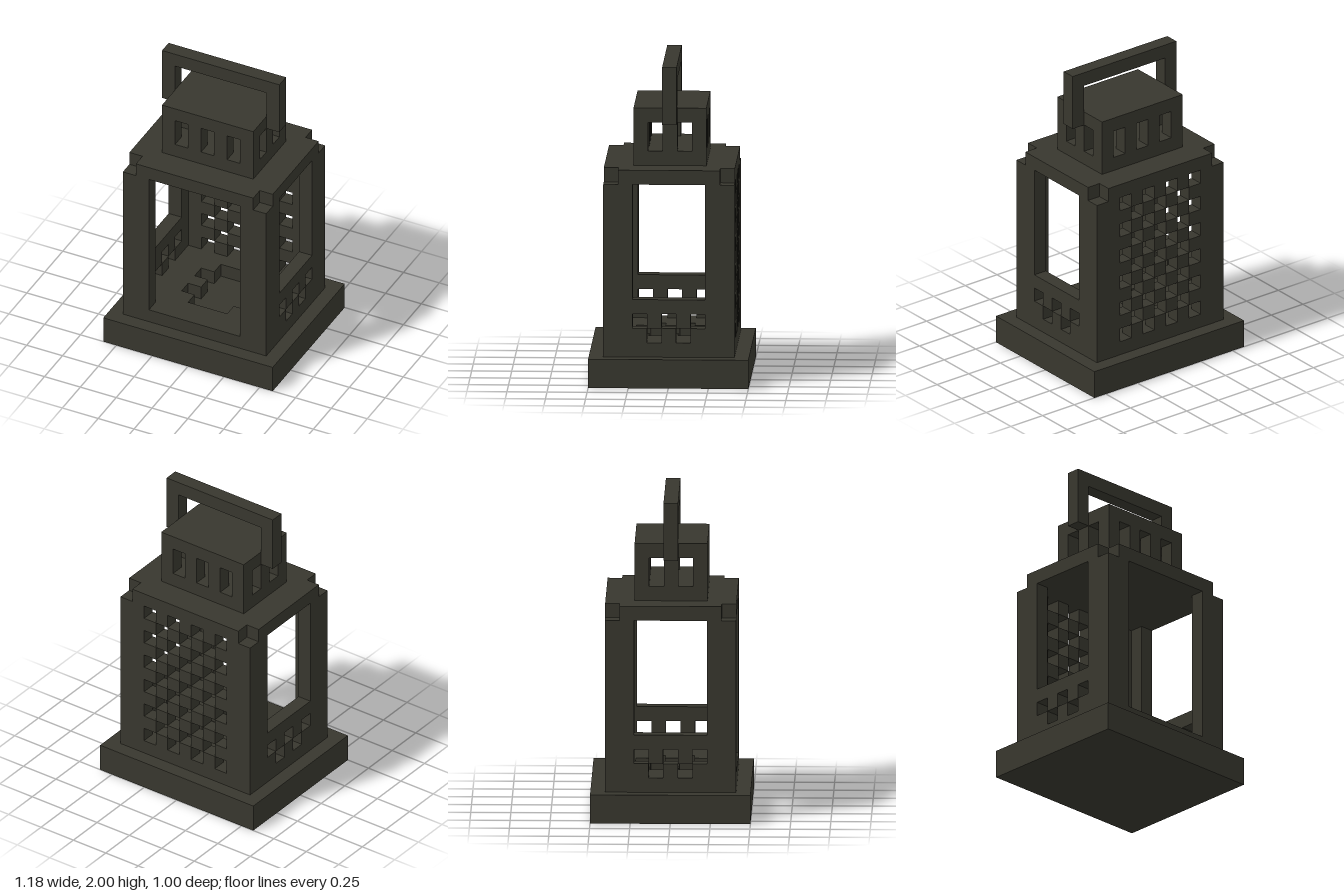
import * as THREE from 'three';

const U = 2 / 22; // one block

export function createModel() {
  const model = new THREE.Group();
  const iron = new THREE.MeshStandardMaterial({ color: 0x38372e });
  iron.name = 'dark iron';

  const part = (name) => {
    const g = new THREE.Group();
    g.name = name;
    model.add(g);
    return g;
  };
  // box given by its limits in blocks
  const box = (g, name, x0, x1, y0, y1, z0, z1) => {
    const m = new THREE.Mesh(new THREE.BoxGeometry((x1 - x0) * U, (y1 - y0) * U, (z1 - z0) * U), iron);
    m.position.set((x0 + x1) / 2 * U, (y0 + y1) / 2 * U, (z0 + z1) / 2 * U);
    m.name = name;
    g.add(m);
  };

  // plinth
  box(part('base'), 'plinth', -6.5, 6.5, 0, 2, -5.5, 5.5);

  // floor with a one-block-deep stepped recess in the middle
  const floor = part('floor');
  box(floor, 'floorFront', -5.5, 5.5, 2, 3, 2.5, 4.5);
  box(floor, 'floorBack', -5.5, 5.5, 2, 3, -4.5, -2.5);
  for (const s of [-1, 1]) {
    const [a, b] = s > 0 ? [2.5, 5.5] : [-5.5, -2.5];
    box(floor, 'floorSide', a, b, 2, 3, -2.5, 2.5);
    for (const z of [-2, 0, 2]) box(floor, 'recessStep', s * 2 - 0.5, s * 2 + 0.5, 2, 3, z - 0.5, z + 0.5);
  }

  // corner posts, L-shaped in plan
  const posts = part('cornerPosts');
  for (const sx of [-1, 1]) for (const sz of [-1, 1]) {
    const span = (s, a, b) => (s > 0 ? [a, b] : [-b, -a]);
    box(posts, 'postFace', ...span(sx, 3.5, 5.5), 3, 14, ...span(sz, 3.5, 4.5));
    box(posts, 'postReturn', ...span(sx, 4.5, 5.5), 3, 14, ...span(sz, 2.5, 3.5));
  }

  // checkered lattice closing the back
  const lattice = part('backLattice');
  for (let r = 0; r < 11; r++) for (let c = 0; c < 7; c++) {
    if ((r + c) % 2) box(lattice, 'latticeBlock', c - 3.5, c - 2.5, 3 + r, 4 + r, -4.5, -3.5);
  }

  // low side panels: two checkered rows below a rail
  const sides = part('sidePanels');
  for (const x of [-5.5, 4.5]) {
    box(sides, 'sideRail', x, x + 1, 5, 6, -2.5, 2.5);
    for (let r = 0; r < 2; r++) for (let c = 0; c < 5; c++) {
      if ((r + c) % 2 === 0) box(sides, 'sideBlock', x, x + 1, 3 + r, 4 + r, c - 2.5, c - 1.5);
    }
  }

  // roof slab with notched corners
  const roof = part('roof');
  box(roof, 'roofSlab', -4.5, 4.5, 14, 15, -4.5, 4.5);
  for (const x of [-5.5, 4.5]) box(roof, 'roofEdge', x, x + 1, 14, 15, -3.5, 3.5);

  // hollow vent with slots on all four sides
  const vent = part('vent');
  box(vent, 'ventBottom', -3.5, 3.5, 15, 16, -2.5, 2.5);
  box(vent, 'ventTop', -3.5, 3.5, 18, 19, -2.5, 2.5);
  for (const z of [-2, 2]) for (const x of [-3, -1, 1, 3]) {
    box(vent, 'ventBar', x - 0.5, x + 0.5, 16, 18, z - 0.5, z + 0.5);
  }
  for (const x of [-3, 3]) box(vent, 'ventSideBar', x - 0.5, x + 0.5, 16, 18, -0.5, 0.5);

  // carrying handle
  const handle = part('handle');
  box(handle, 'handleGrip', -4.5, 4.5, 21, 22, -0.5, 0.5);
  for (const x of [-4, 4]) box(handle, 'handleLeg', x - 0.5, x + 0.5, 18, 21, -0.5, 0.5);

  return model;
}
